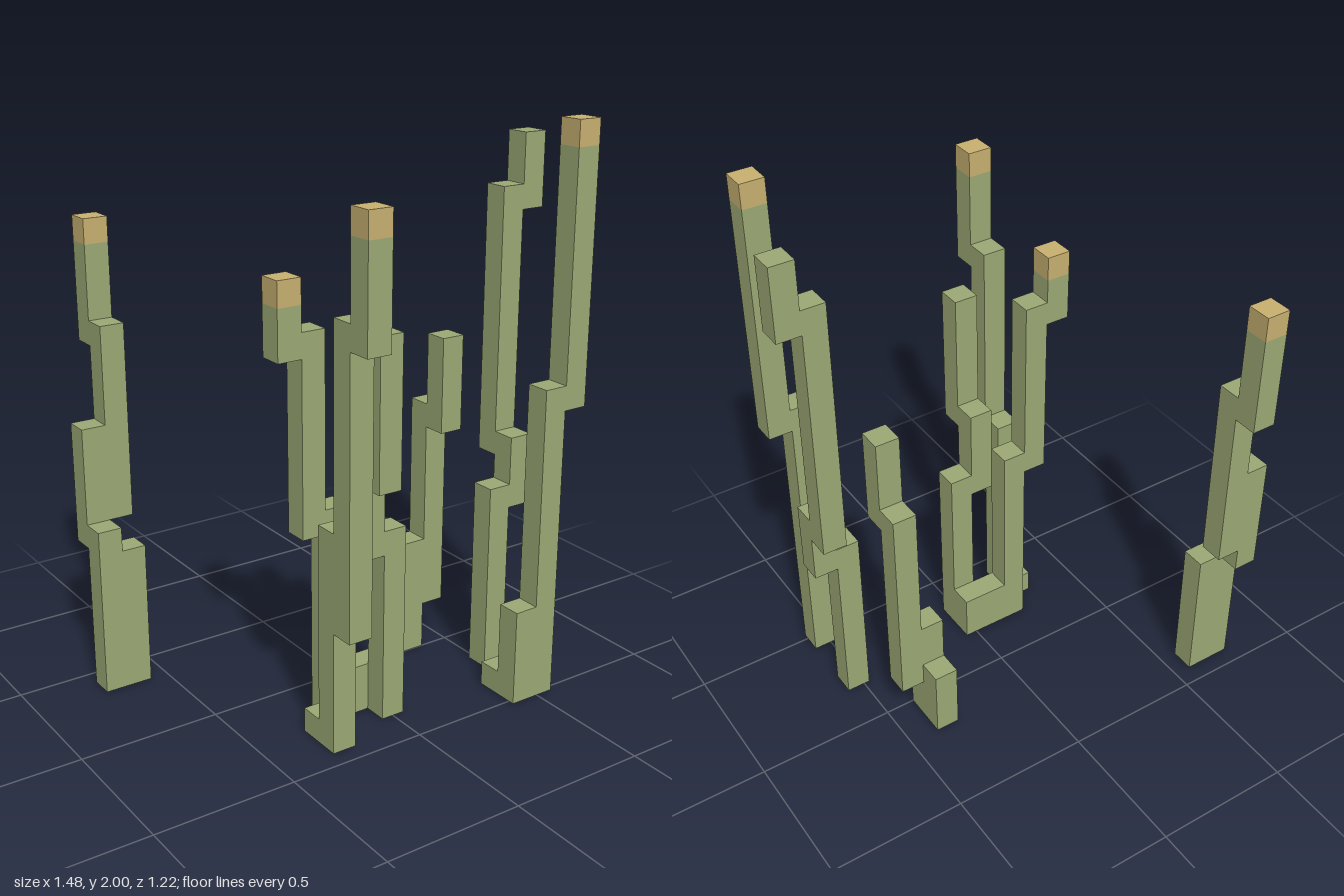
import * as THREE from 'three';

const U = 2 / 23; // one voxel

// Each stalk is a chain of upright segments: [column x, column z, bottom, top] in voxels.
const STALKS = [
  { name: 'backRightStalk', tip: true, segments: [
    [1, 2, 0, 6], [0, 2, 0, 7], [0, 1, 6, 11], [1, 1, 7, 15], [1, 0, 14, 19]] },
  { name: 'middleLeftStalk', tip: false, segments: [
    [12, 5, 0, 3], [12, 6, 0, 5], [13, 6, 2, 11], [13, 7, 10, 14]] },
  { name: 'outerLeftStalk', tip: false, segments: [
    [14, 9, 0, 8], [15, 9, 7, 10], [15, 8, 9, 20], [16, 8, 19, 22]] },
  { name: 'frontLeftStalk', tip: true, segments: [
    [13, 11, 0, 1], [13, 12, 0, 4], [14, 12, 0, 13], [15, 12, 12, 23]] },
  { name: 'frontRightStalk', tip: true, segments: [
    [5, 10, 0, 1], [5, 11, 0, 9], [5, 12, 5, 17], [5, 13, 16, 21]] },
  { name: 'leaningRightStalk', tip: true, segments: [
    [6, 9, 0, 9], [5, 9, 8, 16], [4, 9, 15, 18]] },
  { name: 'centreStalk', tip: false, segments: [
    [7, 9, 0, 2], [8, 9, 0, 2], [8, 10, 0, 8], [7, 10, 7, 11], [7, 11, 10, 16]] },
];

export function createModel() {
  const green = new THREE.MeshStandardMaterial({ name: 'grassGreen', color: 0x9ca975 });
  const tan = new THREE.MeshStandardMaterial({ name: 'tipTan', color: 0xc8b070 });

  // Box filling one voxel column from bottom to top
  const column = (name, material, [i, k, bottom, top]) => {
    const mesh = new THREE.Mesh(new THREE.BoxGeometry(U, (top - bottom) * U, U), material);
    mesh.position.set((i - 8) * U, ((bottom + top) / 2) * U, (k - 6.5) * U);
    mesh.name = name;
    return mesh;
  };

  const model = new THREE.Group();
  model.name = 'tallGrass';
  for (const { name, tip, segments } of STALKS) {
    const stalk = new THREE.Group();
    stalk.name = name;
    segments.forEach(([i, k, bottom, top], n) => {
      // The last segment of a ripe stalk ends in a one-voxel tan tip
      const ripe = tip && n === segments.length - 1;
      stalk.add(column('stalkSegment', green, [i, k, bottom, ripe ? top - 1 : top]));
      if (ripe) stalk.add(column('stalkTip', tan, [i, k, top - 1, top]));
    });
    model.add(stalk);
  }
  return model;
}
